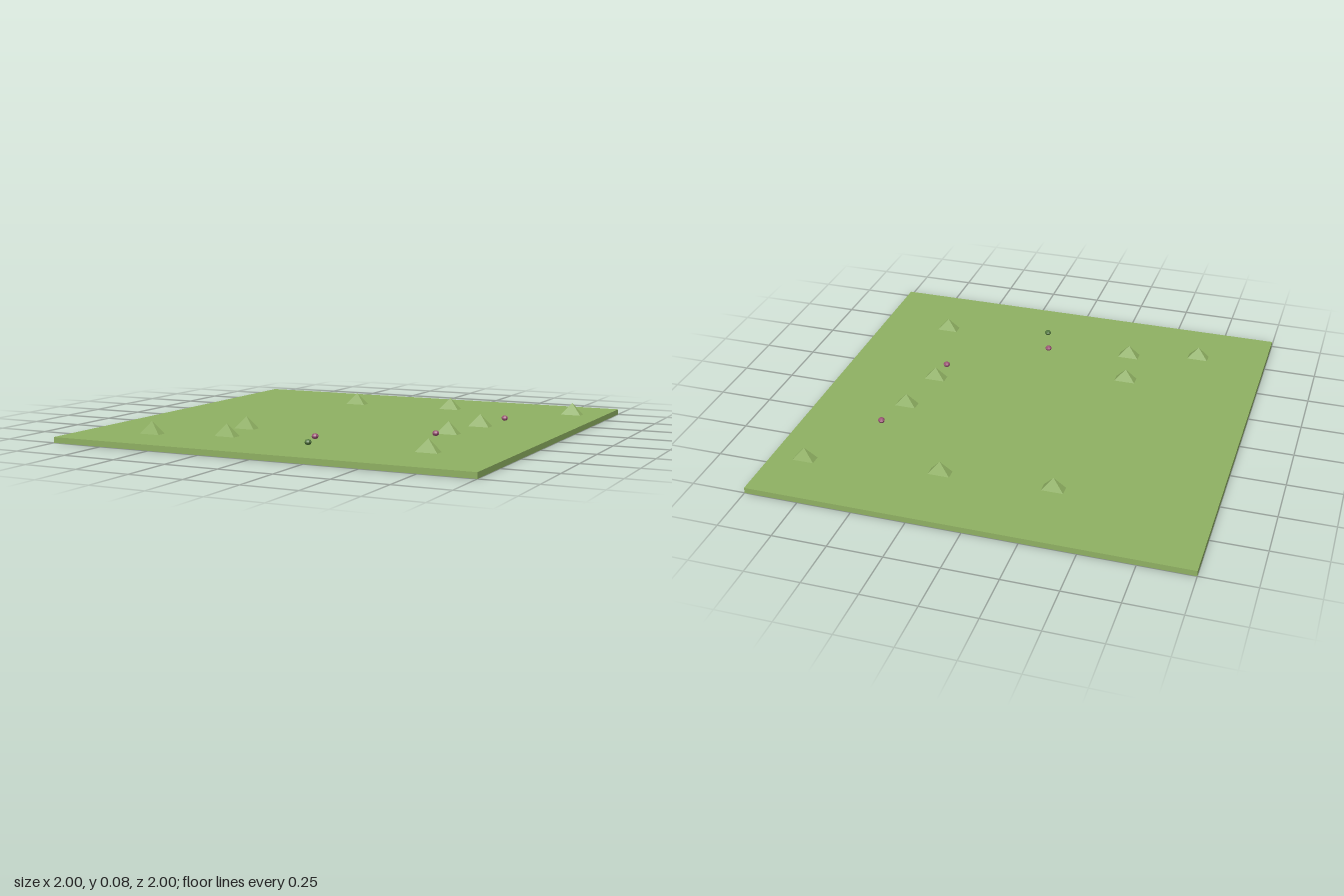
import * as THREE from 'three';

const TOP = 0.026; // height of the ground surface

export function createModel() {
  const model = new THREE.Group();
  model.name = 'meadow';

  const grass = new THREE.MeshStandardMaterial({ color: 0x90b263 });
  grass.name = 'grass green';
  const petal = new THREE.MeshStandardMaterial({ color: 0x9c5676 });
  petal.name = 'blossom pink';
  const leaf = new THREE.MeshStandardMaterial({ color: 0x52773f });
  leaf.name = 'bud green';

  const add = (geometry, material, name, x, y, z) => {
    const mesh = new THREE.Mesh(geometry, material);
    mesh.name = name;
    mesh.position.set(x, y, z);
    model.add(mesh);
  };

  // Square ground slab
  add(new THREE.BoxGeometry(2, TOP, 2), grass, 'ground', 0, TOP / 2, 0);

  // Grass tufts: four-sided pyramids on a 0.1 x 0.05 base
  const tuftHeight = 0.058;
  const tuft = new THREE.ConeGeometry(Math.SQRT1_2, 1, 4, 1).toNonIndexed();
  tuft.rotateY(Math.PI / 4);
  tuft.scale(0.1, tuftHeight, 0.05);
  tuft.computeVertexNormals();
  const tufts = [
    [-0.29, -0.615], [0.225, -0.64], [0.845, -0.71],
    [0.58, -0.135], [0.535, 0.145], [-0.365, 0.4],
    [-0.325, 0.64], [-0.665, 0.725], [0.65, 0.65],
  ];
  tufts.forEach(([x, z], i) =>
    add(tuft, grass, `grassTuft${i + 1}`, x, TOP + tuftHeight / 2, z));

  // Small faceted blossoms and one green bud
  const blossom = new THREE.SphereGeometry(0.0165, 8, 4).toNonIndexed();
  blossom.scale(1, 0.8, 1);
  blossom.computeVertexNormals();
  [[0.63, -0.33], [0.52, 0.26], [0.08, 0.57]].forEach(([x, z], i) =>
    add(blossom, petal, `blossom${i + 1}`, x, 0.043, z));
  add(blossom, leaf, 'bud', 0.13, 0.043, 0.73);

  return model;
}
